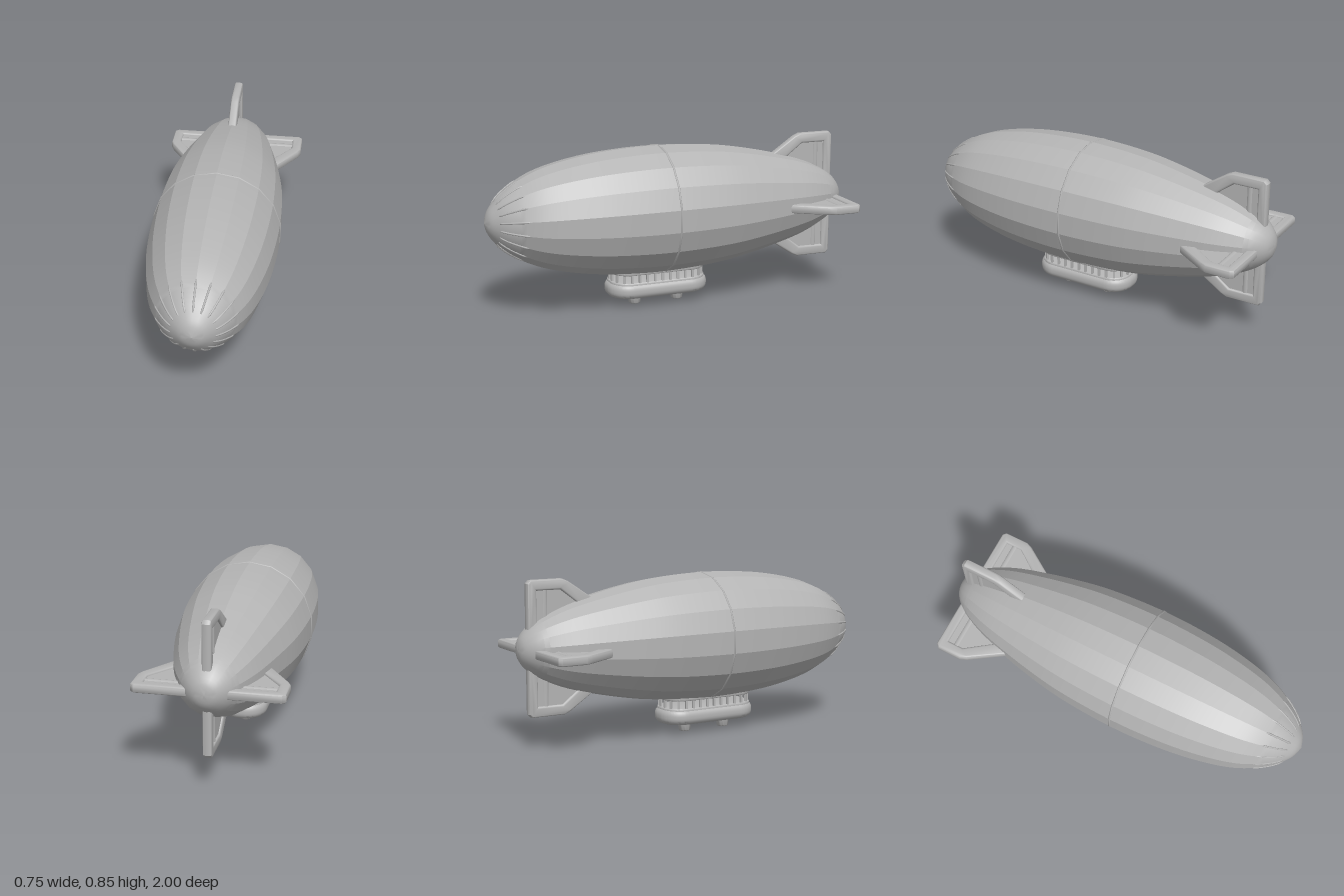
import * as THREE from 'three';
import { toCreasedNormals } from 'three/addons/utils/BufferGeometryUtils.js';

const SIDES = 18;
const HULL_Y = 0.505;
const GONDOLA_Z = 0.077;
const grey = new THREE.MeshStandardMaterial({ color: 0xb4b4b4 });
grey.name = 'airship grey';

function add(parent, name, geometry, x = 0, y = 0, z = 0) {
  const mesh = new THREE.Mesh(geometry, grey);
  mesh.name = name;
  mesh.position.set(x, y, z);
  parent.add(mesh);
  return mesh;
}

// Hull outline from tail to nose: [radius, z]
const hullCurve = new THREE.SplineCurve([
  [0, -1], [0.06, -0.985], [0.12, -0.93], [0.172, -0.84], [0.215, -0.73], [0.255, -0.58],
  [0.29, -0.42], [0.315, -0.27], [0.33, -0.1], [0.336, 0.08], [0.331, 0.25], [0.315, 0.43],
  [0.285, 0.6], [0.248, 0.73], [0.2, 0.83], [0.145, 0.91], [0.09, 0.96], [0.05, 0.985], [0, 1],
].map(([r, z]) => new THREE.Vector2(r, z)));

function buildHull() {
  const hull = new THREE.Group();
  hull.name = 'hull';
  hull.position.y = HULL_Y;
  const outline = hullCurve.getPoints(72);
  outline.forEach((p) => { p.x = Math.max(p.x, 0); });

  // Gored envelope: creased between the long panels, smooth along them
  const envelope = new THREE.LatheGeometry(outline, SIDES).rotateX(Math.PI / 2);
  add(hull, 'envelope', toCreasedNormals(envelope, 0.3));

  // Raised seam around the middle
  const seam = new THREE.TorusGeometry(0.334, 0.006, 6, SIDES).rotateZ(Math.PI / SIDES);
  add(hull, 'middleSeam', seam, 0, 0, 0.06);

  // Nose battens, sunk into the envelope at both ends
  const path = outline.filter((p) => p.y > 0.5 && p.x > 0.1 && p.x < 0.215);
  const batten = new THREE.CatmullRomCurve3(path.map((p, i) => {
    const sink = i === 0 || i === path.length - 1 ? 0.007 : 0.001;
    return new THREE.Vector3(0, p.x - sink, p.y - sink);
  }));
  const battenGeometry = new THREE.TubeGeometry(batten, 12, 0.0055, 6);
  for (let i = 0; i < SIDES; i++) {
    add(hull, 'noseBatten', battenGeometry).rotation.z = (i / SIDES) * Math.PI * 2;
  }
  return hull;
}

const polygon = (points) => points.map(([u, z]) => new THREE.Vector2(u, z));

function buildFin(name, span, turn, y) {
  const fin = new THREE.Group();
  fin.name = name;
  const tip = -0.6 - (span - 0.25) * 1.55;
  const outer = polygon([
    [0.06, -0.938], [span - 0.022, -0.938], [span - 0.012, -0.928],
    [span - 0.012, tip - 0.015], [span - 0.024, tip + 0.014], [0.235, -0.605], [0.06, -0.605],
  ]);
  const inner = polygon([
    [0.09, -0.912], [span - 0.042, -0.912], [span - 0.042, tip - 0.02], [0.215, -0.65], [0.09, -0.65],
  ]);

  // Local axes: span to y, chord to z, thickness to x
  const orient = new THREE.Matrix4().makeBasis(
    new THREE.Vector3(0, 1, 0), new THREE.Vector3(0, 0, 1), new THREE.Vector3(1, 0, 0));

  // Rounded rim around a recessed panel
  const rim = new THREE.Shape(outer);
  rim.holes.push(new THREE.Path(inner));
  const rimGeometry = new THREE.ExtrudeGeometry(rim, {
    depth: 0.022, bevelThickness: 0.012, bevelSize: 0.012, bevelSegments: 4,
  }).translate(0, 0, -0.011).applyMatrix4(orient);
  add(fin, 'finRim', toCreasedNormals(rimGeometry, 0.6));

  const panelGeometry = new THREE.ExtrudeGeometry(new THREE.Shape(outer), {
    depth: 0.026, bevelEnabled: false,
  }).translate(0, 0, -0.013).applyMatrix4(orient);
  add(fin, 'finPanel', panelGeometry);

  // Rudder hinge spar
  const spar = new THREE.CapsuleGeometry(0.019, span - 0.13, 4, 12);
  add(fin, 'finSpar', spar, 0, (span + 0.06) / 2, -0.855);

  fin.position.y = y;
  fin.rotation.z = turn;
  return fin;
}

// Rounded oblong plan, starting from the middle of one end
function oblong(w, l, r) {
  const s = new THREE.Shape();
  s.moveTo(0, l);
  s.lineTo(-w + r, l);
  s.absarc(-w + r, l - r, r, Math.PI / 2, Math.PI);
  s.absarc(-w + r, -l + r, r, Math.PI, Math.PI * 1.5);
  s.absarc(w - r, -l + r, r, Math.PI * 1.5, Math.PI * 2);
  s.absarc(w - r, l - r, r, 0, Math.PI / 2);
  s.lineTo(0, l);
  return s;
}

// Rounded slab between two heights
function slab(w, l, r, low, high, bevel) {
  const geometry = new THREE.ExtrudeGeometry(oblong(w - bevel, l - bevel, r - bevel), {
    depth: high - low - 2 * bevel, bevelThickness: bevel, bevelSize: bevel,
    bevelSegments: 6, curveSegments: 12,
  }).rotateX(-Math.PI / 2).translate(0, low + bevel, 0);
  return toCreasedNormals(geometry, 0.6);
}

function buildGondola() {
  const gondola = new THREE.Group();
  gondola.name = 'gondola';
  gondola.position.z = GONDOLA_Z;
  add(gondola, 'gondolaBody', slab(0.125, 0.278, 0.115, 0.05, 0.136, 0.037));
  add(gondola, 'windowSill', slab(0.114, 0.263, 0.1, 0.115, 0.139, 0.006));
  add(gondola, 'gondolaRoof', slab(0.115, 0.26, 0.1, 0.179, 0.212, 0.006));

  // Window posts around the cabin
  const count = 30;
  const points = oblong(0.107, 0.253, 0.095).getSpacedPoints(count * 2);
  const post = new THREE.BoxGeometry(0.012, 0.055, 0.011);
  for (let i = 1; i < count * 2; i += 2) {
    const p = points[i];
    const along = points[i + 1].clone().sub(points[i - 1]);
    add(gondola, 'windowPost', post, p.x, 0.159, p.y).rotation.y = Math.atan2(-along.y, along.x);
  }

  // Flared landing feet
  const foot = new THREE.LatheGeometry(polygon([
    [0, 0], [0.027, 0], [0.032, 0.006], [0.033, 0.033], [0.038, 0.043], [0.05, 0.05], [0.06, 0.054],
  ]), 24);
  const footGeometry = toCreasedNormals(foot, 0.9);
  for (const z of [0.12, -0.12]) add(gondola, 'landingFoot', footGeometry, 0, 0, z);
  return gondola;
}

export function createModel() {
  const model = new THREE.Group();
  model.name = 'airship';
  model.add(
    buildHull(),
    buildFin('topFin', 0.345, 0, HULL_Y),
    buildFin('bottomFin', 0.342, Math.PI, HULL_Y),
    buildFin('leftFin', 0.373, -Math.PI / 2, 0.492),
    buildFin('rightFin', 0.373, Math.PI / 2, 0.492),
    buildGondola(),
  );
  return model;
}
